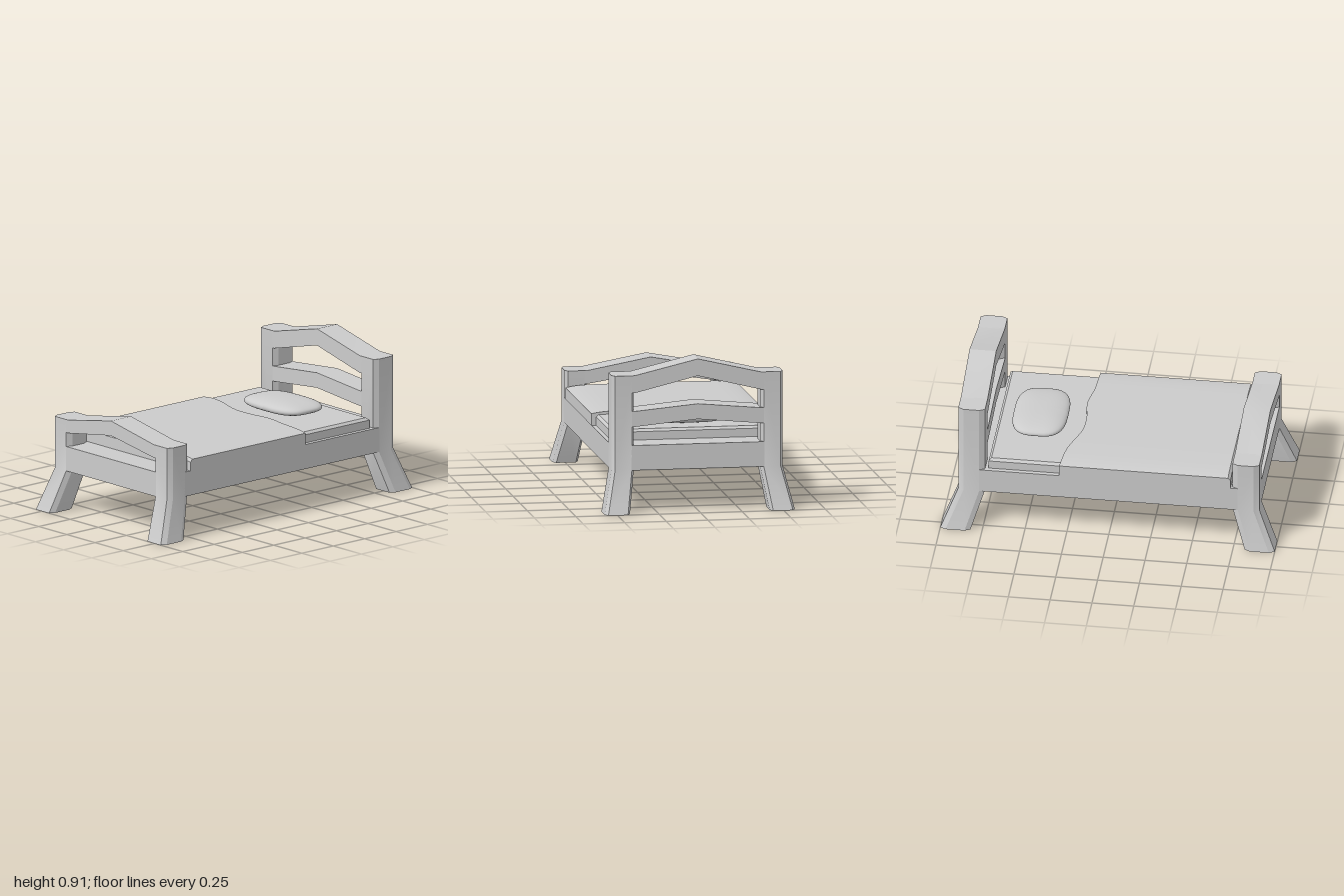
import * as THREE from 'three';
import { toCreasedNormals } from 'three/addons/utils/BufferGeometryUtils.js';

const material = new THREE.MeshStandardMaterial({ color: 0xcccccc });

function mesh(name, geometry) {
  const m = new THREE.Mesh(geometry, material);
  m.name = name;
  return m;
}

// Skin closed rings of [x, y, z]; points i and n-1-i of a ring are paired across the end caps
function loft(rings) {
  const n = rings[0].length;
  const tris = [];
  const quad = (a, b, c, d) => tris.push([a, b, c], [a, c, d]);
  for (let r = 0; r < rings.length - 1; r++) {
    for (let i = 0; i < n; i++) {
      const j = (i + 1) % n;
      quad(rings[r][i], rings[r][j], rings[r + 1][j], rings[r + 1][i]);
    }
  }
  const first = rings[0], last = rings[rings.length - 1];
  for (let i = 0; i < n / 2 - 1; i++) {
    quad(first[i], first[n - 1 - i], first[n - 2 - i], first[i + 1]);
    quad(last[i], last[i + 1], last[n - 2 - i], last[n - 1 - i]);
  }
  // Turn the faces outward whichever way the rings run
  let volume = 0;
  for (const [a, b, c] of tris) {
    volume += new THREE.Vector3(...a).dot(new THREE.Vector3(...b).cross(new THREE.Vector3(...c)));
  }
  if (volume < 0) tris.forEach((t) => t.reverse());
  const g = new THREE.BufferGeometry();
  g.setAttribute('position', new THREE.Float32BufferAttribute(tris.flat(2), 3));
  return toCreasedNormals(g, 0.4);
}

// Octagonal post section between x0..x1 and z0..z1, mirrored by sx and sz
function postRing(y, x0, x1, z0, z1, sx, sz) {
  const cx = 0.033, cz = 0.017;
  const side = [[x0, cz], [x0 + cx, 0], [x1 - cx, 0], [x1, cz]];
  const outer = side.map(([x, c]) => [sx * x, y, sz * (z1 - c)]);
  const inner = side.map(([x, c]) => [sx * x, y, sz * (z0 + c)]);
  return [...outer, ...inner.reverse()];
}

// Post with a splayed leg
function post(name, top, sx, sz) {
  return mesh(name, loft([
    postRing(0, 0.82, 1.0, 0.42, 0.572, sx, sz),
    postRing(0.25, 0.74, 0.9, 0.38, 0.515, sx, sz),
    postRing(top, 0.74, 0.9, 0.38, 0.515, sx, sz),
  ]));
}

// Peaked crossbar between two posts
function rail(name, sx, endLow, endHigh, midLow, midHigh) {
  const ring = (z, low, high) => [
    [sx * 0.74, low, z], [sx * 0.9, low, z], [sx * 0.9, high, z], [sx * 0.74, high, z],
  ];
  return mesh(name, loft([
    ring(-0.4, endLow, endHigh), ring(-0.38, endLow, endHigh), ring(0, midLow, midHigh),
    ring(0.38, endLow, endHigh), ring(0.4, endLow, endHigh),
  ]));
}

function box(name, w, h, d, y) {
  return mesh(name, new THREE.BoxGeometry(w, h, d).translate(0, y, 0));
}

function mattress() {
  const ring = (y, inset) => [
    [-0.7 + inset, y, -0.488 + inset], [0.72 - inset, y, -0.488 + inset],
    [0.72 - inset, y, 0.488 - inset], [-0.7 + inset, y, 0.488 - inset],
  ];
  return mesh('mattress', loft([ring(0.39, 0), ring(0.45, 0), ring(0.465, 0.015)]));
}

// Blanket with a wavy turned edge
function blanket() {
  const edge = new THREE.CatmullRomCurve3([
    [0.295, -0.517], [0.27, -0.34], [0.205, -0.13], [0.2, 0],
    [0.217, 0.16], [0.193, 0.32], [0.185, 0.517],
  ].map(([x, z]) => new THREE.Vector3(x, 0, z)));
  const columns = edge.getPoints(36);
  columns.splice(1, 0, edge.getPoint(0.015));
  columns.splice(-1, 0, edge.getPoint(0.985));
  const topAt = (z) => 0.486 - 0.016 * Math.pow(Math.abs(z) / 0.517, 8);
  const ring = (xAt, drop) => [
    ...columns.map((p) => [xAt(p), topAt(p.z) - drop, p.z]),
    ...columns.map((p) => [xAt(p), 0.4, p.z]).reverse(),
  ];
  return mesh('blanket', loft([
    ring(() => -0.73, 0.017), ring(() => -0.715, 0), ring((p) => p.x, 0),
  ]));
}

// Plump pillow: a sphere squared off in plan and flattened underneath
function pillow() {
  const g = new THREE.SphereGeometry(1, 40, 24);
  const p = g.attributes.position;
  const soft = (v, e) => Math.sign(v) * Math.pow(Math.abs(v), e);
  for (let i = 0; i < p.count; i++) {
    const x = p.getX(i), y = p.getY(i), z = p.getZ(i);
    const r = Math.hypot(x, z) || 1;
    const spread = Math.pow(Math.min(r, 1), 0.85);
    p.setXYZ(i,
      0.47 + 0.163 * soft(x / r, 0.65) * spread,
      0.5 + (y > 0 ? 0.043 : 0.037) * soft(y, 0.85),
      0.25 * soft(z / r, 0.65) * spread);
  }
  g.computeVertexNormals();
  return mesh('pillow', g);
}

export function createModel() {
  const bed = new THREE.Group();
  bed.name = 'bed';

  // Base: side-to-side frame plus the end panels between the posts
  bed.add(box('frame', 1.55, 0.15, 1.03, 0.325));
  bed.add(box('endPanels', 1.8, 0.15, 0.8, 0.325));

  for (const sz of [-1, 1]) {
    const side = sz > 0 ? 'Front' : 'Back';
    bed.add(post('headPost' + side, 0.82, 1, sz));
    bed.add(post('footPost' + side, 0.565, -1, sz));
  }

  // Headboard and footboard crossbars
  bed.add(rail('headTopRail', 1, 0.715, 0.82, 0.808, 0.91));
  bed.add(rail('headMiddleRail', 1, 0.512, 0.605, 0.548, 0.64));
  bed.add(rail('footRail', -1, 0.485, 0.565, 0.545, 0.635));

  bed.add(mattress(), blanket(), pillow());
  return bed;
}
